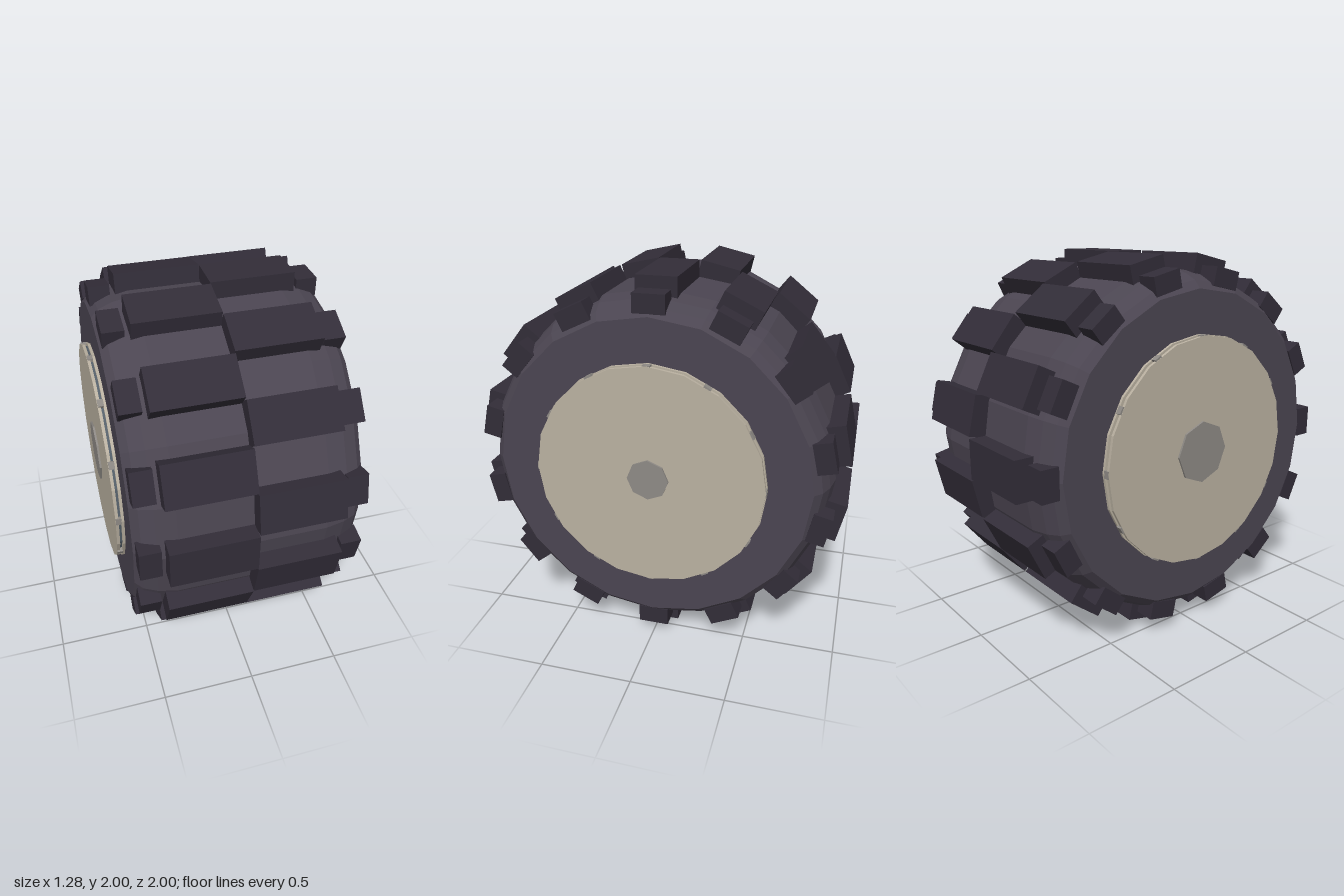
import * as THREE from 'three';

const mat = (color) => new THREE.MeshStandardMaterial({ color, flatShading: true, side: THREE.DoubleSide });

export function createModel() {
  const wheel = new THREE.Group();
  wheel.name = 'wheel';
  wheel.position.y = 1;
  const rubber = mat(0x4b4551), tread = mat(0x322d38);
  const cream = mat(0xbab1a1), slate = mat(0x55606a), steel = mat(0x8e8a85);

  const add = (name, geometry, material) => {
    const mesh = new THREE.Mesh(geometry, material);
    mesh.name = name;
    wheel.add(mesh);
    return mesh;
  };
  // Profile of [radius, x] pairs spun around the axle
  const spin = (name, profile, sides, material) => add(name, new THREE.LatheGeometry(
    profile.map(([r, x]) => new THREE.Vector2(r, x)), sides).rotateZ(-Math.PI / 2), material);
  // Box set at an angle around the axle, between two radii
  const radialBox = (name, x0, x1, r0, r1, width, angle, material) => {
    const r = (r0 + r1) / 2;
    const mesh = add(name, new THREE.BoxGeometry(x1 - x0, r1 - r0, width), material);
    mesh.position.set((x0 + x1) / 2, r * Math.sin(angle), r * Math.cos(angle));
    mesh.rotation.x = Math.PI / 2 - angle;
  };

  // Tyre carcass with rounded shoulders and flat sidewalls
  const half = [[0.925, 0.38], [0.905, 0.48], [0.875, 0.55], [0.835, 0.588], [0.6, 0.588], [0.6, 0.55]];
  spin('tyre', [...half.map(([r, x]) => [r, -x]).reverse(), ...half], 20, rubber);

  for (const side of [-1, 1]) {
    const span = (a, b) => (side > 0 ? [a, b] : [-b, -a]);

    // Tread blocks and shoulder lugs, staggered between the two halves
    for (let i = 0; i < 14; i++) {
      const angle = ((i * 2 + (side > 0 ? 1 : 0)) * Math.PI) / 14;
      radialBox('treadBlock', ...span(0, 0.443), 0.88, 1, 0.215, angle, tread);
      radialBox('shoulderLug', ...span(0.467, 0.577), 0.845, 0.943, 0.165, angle, tread);
    }

    // Rim lip, recessed band and hub cap
    spin('rimLip', [[0.61, side * 0.57], [0.61, side * 0.603], [0.59, side * 0.603]], 20, cream);
    spin('rimBand', [[0.594, side * 0.58], [0.594, side * 0.62]], 20, slate);
    spin('hubCap', [[0, side * 0.616], [0.606, side * 0.616], [0.606, side * 0.632], [0, side * 0.632]], 20, cream);

    // Small rim studs
    for (let i = 0; i < 12; i++) {
      radialBox('rimStud', ...span(0.6, 0.63), 0.575, 0.609, 0.04, (i * Math.PI) / 6, steel);
    }

    // Axle end, larger on the right side
    const radius = side > 0 ? 0.11 : 0.165;
    const axle = add('axleEnd', new THREE.CylinderGeometry(radius, radius, 0.045, 8).rotateZ(-Math.PI / 2), steel);
    axle.position.x = side * 0.62;
  }

  const model = new THREE.Group();
  model.add(wheel);
  return model;
}
